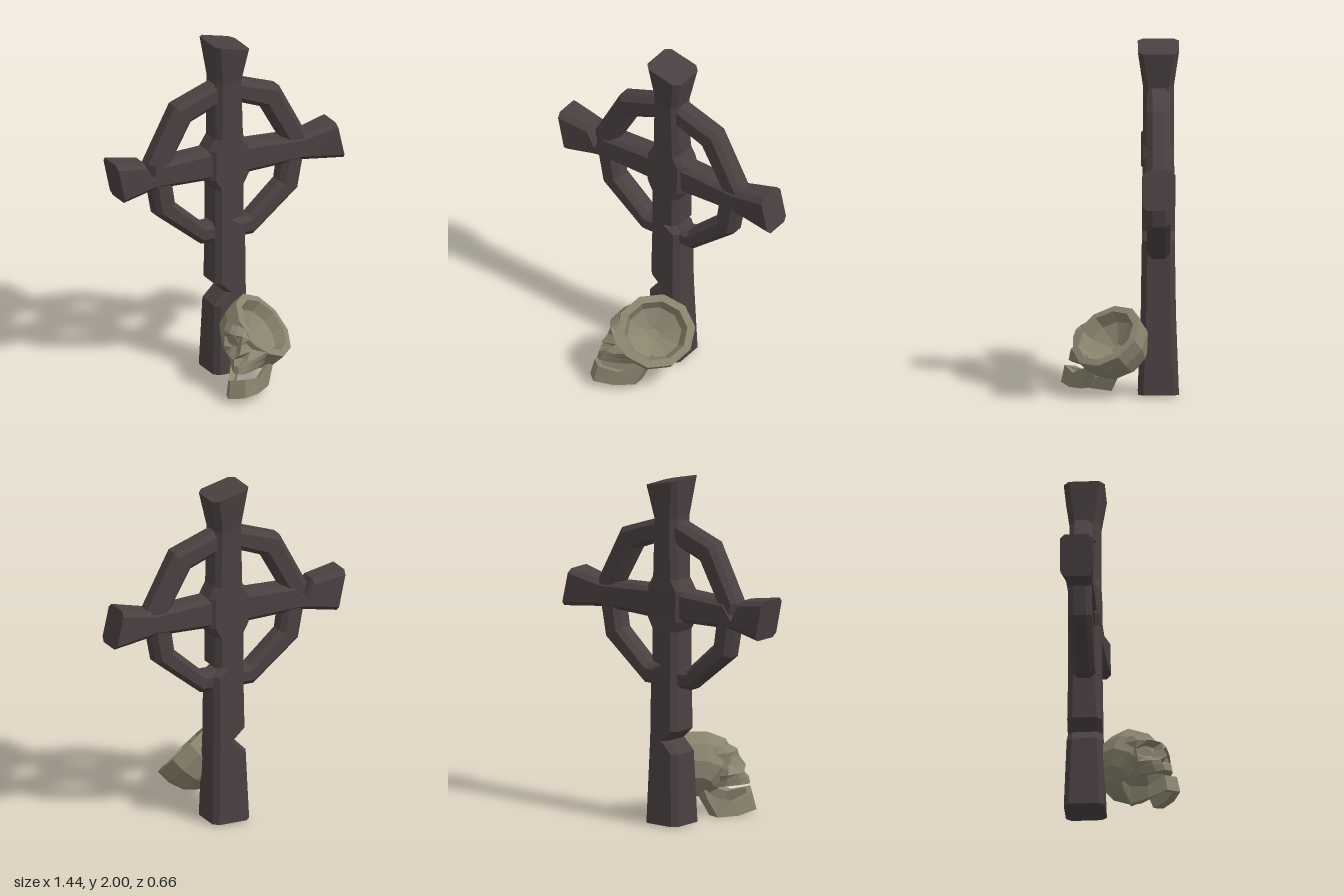
import * as THREE from 'three';

const stone = new THREE.MeshStandardMaterial({ color: 0x4a4041, flatShading: true });
const bone = new THREE.MeshStandardMaterial({ color: 0x8a846e, flatShading: true, side: THREE.DoubleSide });

// Skin a list of equal-length rings; caps the ends unless closed into a loop
function loft(rings, closed = false) {
  const n = rings[0].length, m = rings.length, pts = rings.flat(), idx = [];
  for (let i = 0; i < (closed ? m : m - 1); i++) {
    for (let j = 0; j < n; j++) {
      const k = (j + 1) % n, r = (i + 1) % m;
      const a = i * n + j, b = i * n + k, c = r * n + k, d = r * n + j;
      idx.push(a, b, c, a, c, d);
    }
  }
  if (!closed) {
    const e = (m - 1) * n;
    for (let j = 1; j < n - 1; j++) idx.push(0, j + 1, j, e, e + j, e + j + 1);
  }
  // turn the faces outward if the signed volume is negative
  let vol = 0;
  const v = (i) => new THREE.Vector3(...pts[i]);
  for (let i = 0; i < idx.length; i += 3) vol += v(idx[i]).dot(v(idx[i + 1]).cross(v(idx[i + 2])));
  if (vol < 0) idx.reverse();
  const g = new THREE.BufferGeometry();
  g.setAttribute('position', new THREE.Float32BufferAttribute(pts.flat(), 3));
  g.setIndex(idx);
  g.computeVertexNormals();
  return g;
}

// Chamfered beam; each station is [loX, loY, hiX, hiY, halfDepth]
function beam(name, stations, c, closed = false) {
  const rings = stations.map(([ax, ay, bx, by, d]) => {
    const len = Math.hypot(bx - ax, by - ay);
    const at = (t, z) => [ax + (bx - ax) * t, ay + (by - ay) * t, z];
    const s = c / len;
    return [at(0, d - c), at(s, d), at(1 - s, d), at(1, d - c),
      at(1, c - d), at(1 - s, -d), at(s, -d), at(0, c - d)];
  });
  const mesh = new THREE.Mesh(loft(rings, closed), stone);
  mesh.name = name;
  return mesh;
}

function makeCross() {
  const cross = new THREE.Group();
  cross.name = 'stoneCross';
  cross.position.z = -0.22;

  // Upright with a chip on each side and flared ends
  cross.add(beam('upright', [
    [-0.115, 0.01, 0.115, 0.01, 0.115],
    [-0.1, 0.42, 0.104, 0.42, 0.1],
    [-0.03, 0.49, 0.102, 0.49, 0.098],
    [-0.095, 0.55, 0.101, 0.55, 0.097],
    [-0.09, 0.87, 0.1, 0.885, 0.092],
    [-0.09, 0.92, 0.03, 0.93, 0.092],
    [-0.09, 0.94, 0.09, 0.94, 0.092],
    [-0.09, 1.12, 0.09, 1.12, 0.092],
    [-0.125, 1.18, 0.125, 1.18, 0.09],
    [-0.125, 1.355, 0.125, 1.355, 0.088],
    [-0.085, 1.42, 0.09, 1.42, 0.086],
    [-0.08, 1.77, 0.08, 1.75, 0.086],
    [-0.11, 2.0, 0.115, 1.945, 0.115],
  ], 0.03));

  // Crossbar with a chip in the top edge
  cross.add(beam('crossbar', [
    [-0.67, 1.155, -0.72, 1.39, 0.092],
    [-0.52, 1.18, -0.53, 1.36, 0.076],
    [-0.48, 1.187, -0.48, 1.265, 0.074],
    [-0.42, 1.19, -0.42, 1.345, 0.073],
    [-0.12, 1.18, -0.12, 1.355, 0.073],
    [0.12, 1.18, 0.12, 1.355, 0.073],
    [0.46, 1.19, 0.46, 1.335, 0.073],
    [0.72, 1.16, 0.67, 1.38, 0.092],
  ], 0.025));

  // Faceted ring: inner and outer corner pairs, mirrored
  const half = [
    [0.05, 1.62, 0.07, 1.752, 0.065], [0.23, 1.55, 0.33, 1.66, 0.065],
    [0.36, 1.32, 0.5, 1.34, 0.065], [0.345, 1.18, 0.475, 1.18, 0.065],
    [0.33, 1.08, 0.445, 1.02, 0.065], [0.14, 0.91, 0.165, 0.795, 0.065],
    [0.05, 0.91, 0.05, 0.795, 0.065],
  ];
  const other = half.map(([a, b, c, d, e]) => [-a, b, -c, d, e]).reverse();
  cross.add(beam('ring', [...half, ...other], 0.03, true));
  return cross;
}

function makeSkull() {
  const skull = new THREE.Group();
  skull.name = 'skull';
  skull.position.set(0.05, 0, 0.05);
  skull.rotation.y = -Math.PI / 4;
  const add = (name, geo) => {
    const mesh = new THREE.Mesh(geo, bone);
    mesh.name = name;
    skull.add(mesh);
    return mesh;
  };

  // Hollow cranium, broken open on its upper left side
  const profile = [[0, -0.26], [0.1, -0.24], [0.175, -0.175], [0.21, -0.085], [0.212, 0],
    [0.17, 0.004], [0.145, -0.06], [0.03, -0.12], [0, -0.12]];
  const cranium = add('cranium', new THREE.LatheGeometry(profile.map((p) => new THREE.Vector2(...p)), 10));
  cranium.scale.z = 1.06;
  cranium.rotation.z = -Math.atan2(0.72, 0.69);
  cranium.position.set(0.048, 0.346, -0.015);

  // Face: rows of [height, width factor, depths from the middle to the side]
  const cols = [0, 0.04, 0.08, 0.125, 0.15];
  const rows = [
    [0.41, 0.95, 0.185, 0.18, 0.17, 0.135, 0.09],
    [0.37, 1, 0.235, 0.23, 0.215, 0.17, 0.09],
    [0.325, 1, 0.25, 0.16, 0.135, 0.16, 0.08],
    [0.275, 1, 0.285, 0.21, 0.18, 0.175, 0.06],
    [0.24, 0.95, 0.22, 0.27, 0.23, 0.17, 0.05],
    [0.21, 0.82, 0.3, 0.285, 0.24, 0.16, 0.04],
    [0.17, 0.68, 0.31, 0.3, 0.25, 0.17, 0.06],
    [0.175, 0.5, 0.24, 0.23, 0.2, 0.14, 0.05],
  ];
  const pos = [], idx = [], n = cols.length * 2 - 1;
  rows.forEach(([y, w, ...f], r) => {
    for (let i = 0; i < n; i++) {
      const c = i - cols.length + 1, x = Math.sign(c) * cols[Math.abs(c)] * w;
      // keep the face below the broken edge
      pos.push(x, Math.min(y, (0.273 - 0.72 * x) / 0.69), f[Math.abs(c)]);
      if (r && i) {
        const a = r * n + i;
        idx.push(a, a - n, a - 1, a - 1, a - n, a - n - 1);
      }
    }
  });
  const face = new THREE.BufferGeometry();
  face.setAttribute('position', new THREE.Float32BufferAttribute(pos, 3));
  face.setIndex(idx);
  face.computeVertexNormals();
  add('face', face);

  // Lower jaw: [side, forward, top, bottom], mirrored and slightly rolled
  const half = [[0.12, 0.04, 0.2, 0.13], [0.112, 0.1, 0.14, 0.02], [0.088, 0.22, 0.1, 0.018], [0.045, 0.325, 0.135, 0.035]];
  const jaw = [...half, ...half.map(([x, ...r]) => [-x, ...r]).reverse()];
  add('lowerJaw', loft(jaw.map(([x, z, top, bottom]) => {
    const roll = x * 0.18, xi = x * 0.74;
    return [[x, top + roll, z - 0.01], [x * 1.05, bottom + roll, z + 0.015],
      [xi, bottom + roll + 0.008, z - 0.03], [xi, top + roll - 0.008, z - 0.04]];
  })));
  return skull;
}

export function createModel() {
  const model = new THREE.Group();
  model.name = 'graveCrossWithSkull';
  model.add(makeCross(), makeSkull());
  return model;
}
